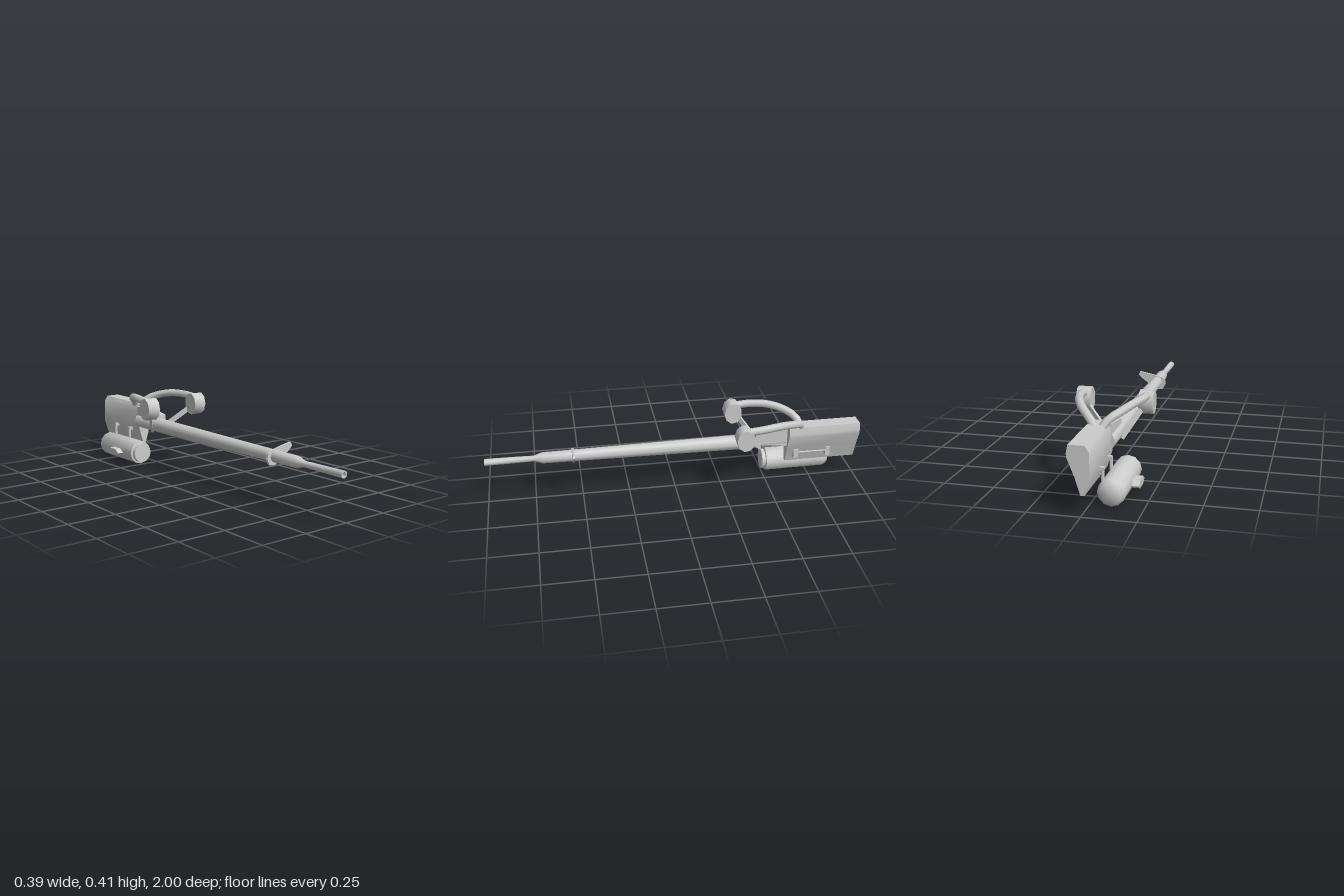
import * as THREE from 'three';
import { toCreasedNormals } from 'three/addons/utils/BufferGeometryUtils.js';

const material = new THREE.MeshStandardMaterial({ color: 0xcccccc });
const BX = -0.022, BY = 0.231; // barrel axis
const MID = 0.004;             // mirror plane of the arms

export function createModel() {
  const model = new THREE.Group();

  const add = (name, geometry, x = 0, y = 0, z = 0, parent = model) => {
    const mesh = new THREE.Mesh(geometry, material);
    mesh.name = name;
    mesh.position.set(x, y, z);
    parent.add(mesh);
    return mesh;
  };
  const box = (name, w, h, d, x, y, z) => add(name, new THREE.BoxGeometry(w, h, d), x, y, z);
  const vecs = (pts) => pts.map((p) => new THREE.Vector2(...p));
  // Outline in the xy plane, extruded from z0 to z1
  const prism = (name, pts, z0, z1, crease = 0.6) => {
    const geo = new THREE.ExtrudeGeometry(new THREE.Shape(vecs(pts)), { depth: z1 - z0, bevelEnabled: false });
    return add(name, toCreasedNormals(geo, crease), 0, 0, z0);
  };
  // Turned part along z; profile points are [radius, z]
  const turned = (name, pts, sides, x, y) => {
    const geo = new THREE.LatheGeometry(vecs(pts), sides).rotateX(Math.PI / 2);
    return add(name, toCreasedNormals(geo, 0.9), x, y, 0);
  };

  // Barrel with narrow muzzle and a shallow bore
  turned('barrel', [
    [0, -0.63], [0.042, -0.63], [0.042, -0.4], [0.032, 0.56], [0.031, 0.7],
    [0.016, 0.745], [0.018, 0.87], [0.019, 1], [0.012, 1], [0.011, 0.96], [0, 0.96],
  ], 8, BX, BY);

  // Slanted leaf-shaped plate across the barrel
  prism('frontPlate', [
    [0.078, 0.288], [0.01, 0.275], [-0.045, 0.26], [-0.068, 0.25], [-0.074, 0.22],
    [-0.058, 0.19], [-0.03, 0.187], [0.01, 0.205], [0.075, 0.257], [0.087, 0.27],
  ], 0.534, 0.547);

  // Rear body, an uneven tapering section
  prism('body', [
    [-0.02, 0.103], [-0.001, 0.103], [0.024, 0.185], [0.06, 0.275], [0.06, 0.292],
    [0.053, 0.33], [-0.023, 0.33], [-0.042, 0.3], [-0.045, 0.185],
  ], -1, -0.61, 0.7);

  // Wedge block between barrel and body
  const wedge = new THREE.Shape(vecs([[0.435, 0.23], [0.63, 0.2], [0.63, 0.317], [0.435, 0.29]]));
  const wedgeGeo = new THREE.ExtrudeGeometry(wedge, { depth: 0.062, bevelEnabled: false });
  wedgeGeo.rotateY(Math.PI / 2); // outline runs along -z, depth along +x
  add('wedgeBlock', wedgeGeo, -0.045, 0, 0);

  // Curved arms, pads and flat braces, one per side
  for (const side of [1, -1]) {
    const arm = new THREE.Group();
    arm.name = side > 0 ? 'leftArm' : 'rightArm';
    model.add(arm);

    const path = new THREE.CatmullRomCurve3([
      [0.158, 0.387, -0.35], [0.155, 0.394, -0.44], [0.128, 0.392, -0.54],
      [0.086, 0.373, -0.62], [0.044, 0.348, -0.665], [0.018, 0.312, -0.685],
    ].map(([x, y, z]) => new THREE.Vector3(MID + side * x, y, z)));
    add('armTube', new THREE.TubeGeometry(path, 10, 0.021, 7), 0, 0, 0, arm);

    const pad = new THREE.CylinderGeometry(0.5, 0.5, 0.072, 9).rotateZ(Math.PI / 2);
    pad.scale(1, 0.122, 0.096);
    add('pad', toCreasedNormals(pad, 0.9), MID + side * 0.157, 0.353, -0.34, arm);

    const from = new THREE.Vector3(MID + side * 0.135, 0.325, -0.37);
    const to = new THREE.Vector3(side > 0 ? 0.0 : -0.052, 0.2, -0.467);
    const brace = add('brace', new THREE.BoxGeometry(0.012, 0.028, from.distanceTo(to)), 0, 0, 0, arm);
    brace.position.copy(from).lerp(to, 0.5);
    brace.lookAt(to);
  }

  // Tank slung under the right side, with a stepped front and a side knob
  turned('tank', [
    [0, -0.873], [0.05, -0.873], [0.065, -0.855], [0.066, -0.52],
    [0.055, -0.518], [0.055, -0.498], [0, -0.496],
  ], 12, -0.1, 0.069);
  const knob = new THREE.CylinderGeometry(0.5, 0.5, 0.05, 6).rotateZ(Math.PI / 2);
  knob.scale(1, 0.045, 0.125);
  add('tankKnob', toCreasedNormals(knob, 0.5), -0.173, 0.06, -0.668);

  // Posts that hang the tank from the body
  for (const z of [-0.845, -0.695]) {
    add('tankPost', new THREE.CylinderGeometry(0.009, 0.009, 0.085, 8), -0.06, 0.143, z);
    box('tankPostFoot', 0.035, 0.016, 0.018, -0.05, 0.178, z);
  }

  // Side handle: two lugs joined by a thin rod
  for (const z of [-0.66, -0.838]) box('handleLug', 0.028, 0.05, 0.026, 0.019, 0.16, z);
  const rod = new THREE.CylinderGeometry(0.005, 0.005, 0.18, 6).rotateX(Math.PI / 2);
  add('handleRod', rod, 0.025, 0.163, -0.749);

  return model;
}
